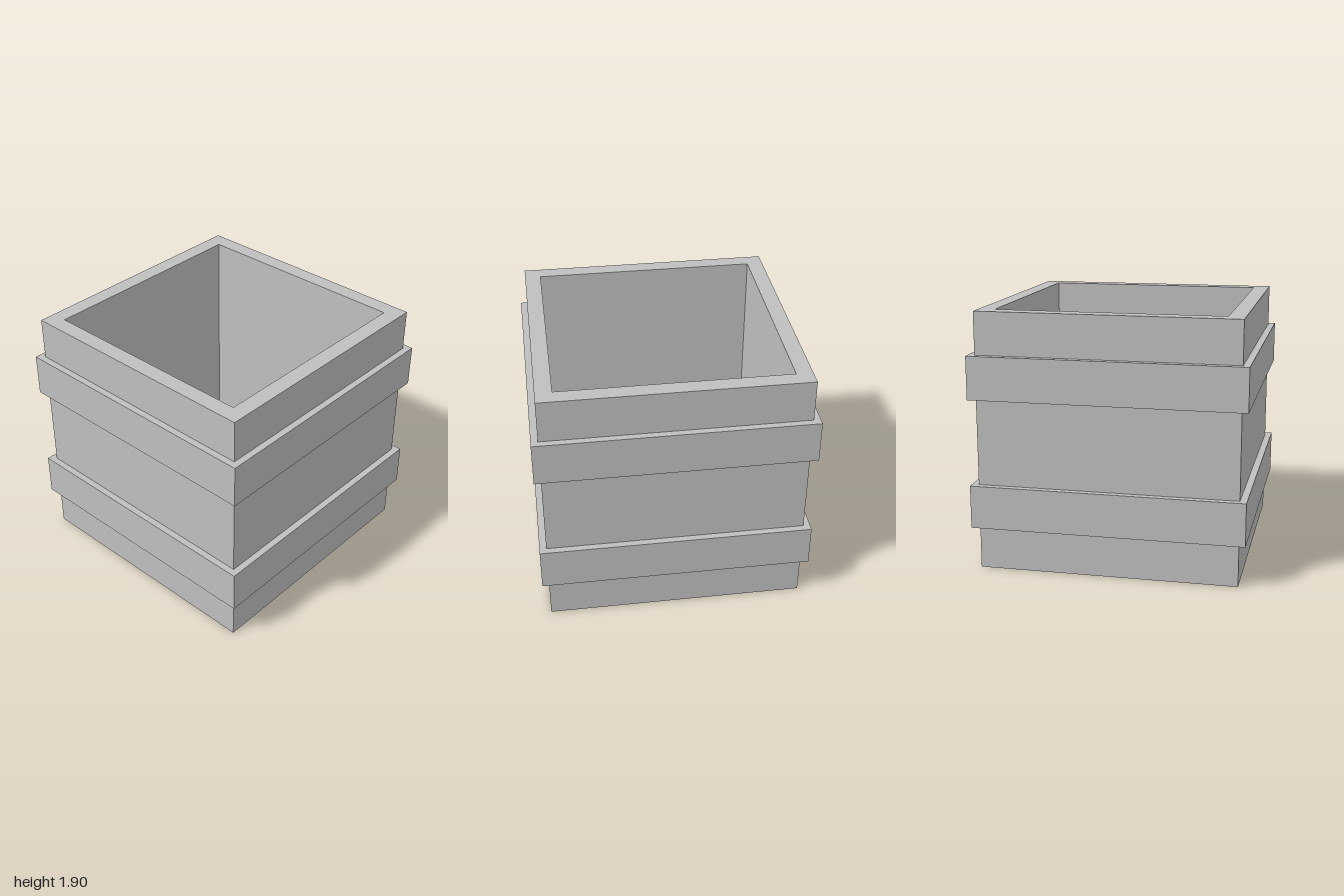
import * as THREE from 'three';

const OUTER = 0.95, INNER = 0.83, BAND = 1.0;
const HEIGHT = 1.9, FLOOR = 0.12, BAND_HEIGHT = 0.317;

// Square outline of the given half width
function square(Type, r) {
  const s = new Type();
  s.moveTo(-r, -r);
  s.lineTo(r, -r);
  s.lineTo(r, r);
  s.lineTo(-r, r);
  s.closePath();
  return s;
}

// Upright square slab from y0 to y1, open in the middle when a hole is given
function squareTube(name, outer, hole, y0, y1, material) {
  const shape = square(THREE.Shape, outer);
  if (hole) shape.holes.push(square(THREE.Path, hole));
  const geometry = new THREE.ExtrudeGeometry(shape, { depth: y1 - y0, bevelEnabled: false });
  geometry.rotateX(-Math.PI / 2);
  geometry.translate(0, y0, 0);
  const mesh = new THREE.Mesh(geometry, material);
  mesh.name = name;
  return mesh;
}

export function createModel() {
  const group = new THREE.Group();
  group.name = 'squarePlanter';
  const grey = new THREE.MeshStandardMaterial({ color: 0xbfbfbf });
  grey.name = 'grey';

  // Open box: floor and walls
  group.add(squareTube('floor', OUTER, null, 0, FLOOR, grey));
  group.add(squareTube('walls', OUTER, INNER, FLOOR, HEIGHT, grey));

  // Raised bands around the outside
  [['lowerBand', 0.317], ['upperBand', 1.27]].forEach(([name, y]) => {
    group.add(squareTube(name, BAND, OUTER, y, y + BAND_HEIGHT, grey));
  });
  return group;
}
